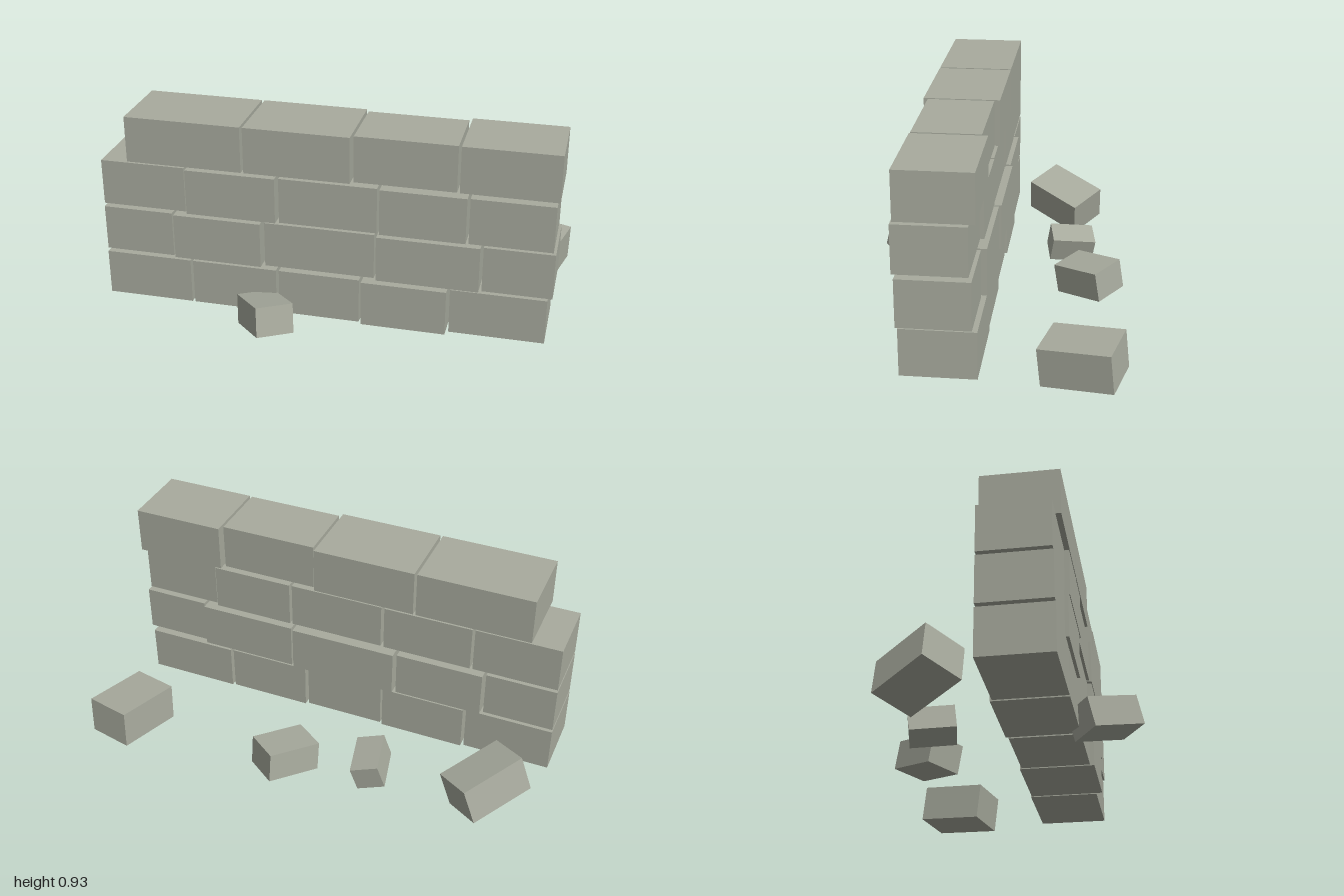
import * as THREE from 'three';

const stone = new THREE.MeshStandardMaterial({ color: 0xa8ab9e });
stone.name = 'grey stone';

// Wall courses from the ground up; each block is [left x, right x, back z, front z]
const COURSE_HEIGHT = 0.205;
const COURSE_STEP = 0.22;
const FIRST_COURSE = 0.075;
const courses = [
  [[-1, -0.612, 0.01, 0.315], [-0.6, -0.22, 0, 0.315], [-0.207, 0.15, 0.01, 0.315],
    [0.162, 0.53, 0, 0.333], [0.542, 0.95, -0.005, 0.305]],
  [[-1, -0.688, 0.01, 0.31], [-0.676, -0.285, -0.01, 0.325], [-0.27, 0.212, -0.02, 0.305],
    [0.224, 0.663, -0.01, 0.325], [0.675, 0.97, 0.013, 0.31]],
  [[-1, -0.624, 0.01, 0.305], [-0.612, -0.215, 0.008, 0.325], [-0.2, 0.224, 0.01, 0.315],
    [0.236, 0.6, 0.008, 0.325], [0.612, 0.96, 0.025, 0.32]],
  [[-0.87, -0.36, -0.003, 0.325], [-0.348, 0.11, -0.003, 0.325],
    [0.122, 0.553, 0.02, 0.305], [0.565, 0.97, -0.005, 0.308]],
];

// Fallen blocks: centre, long edge and wide edge as vectors, thickness
const fallen = [
  { at: [-0.79, 0.138, -0.243], long: [0.176, -0.062, -0.235], wide: [0.144, -0.047, 0.123], thick: 0.165 },
  { at: [-0.285, 0.118, -0.3], long: [0.043, 0.02, 0.193], wide: [0.118, -0.035, -0.022], thick: 0.116 },
  { at: [0.083, 0.125, -0.398], long: [0.146, 0.03, -0.187], wide: [0.132, -0.017, 0.107], thick: 0.132 },
  { at: [0.85, 0.139, -0.407], long: [0.078, 0.027, -0.289], wide: [0.203, -0.012, 0.057], thick: 0.167 },
  { at: [-0.241, 0.125, 0.422], long: [-0.144, -0.056, -0.19], wide: [-0.133, 0.013, 0.1], thick: 0.13 },
];

function block(name, width, height, depth) {
  const mesh = new THREE.Mesh(new THREE.BoxGeometry(width, height, depth), stone);
  mesh.name = name;
  return mesh;
}

// Turn a block so its x and z axes follow the given edges
function fallenBlock({ at, long, wide, thick }) {
  const u = new THREE.Vector3(...long);
  const v = new THREE.Vector3(...wide);
  const mesh = block('fallenBlock', u.length(), thick, v.length());
  const x = u.normalize();
  const y = new THREE.Vector3().crossVectors(v, x).normalize();
  const z = new THREE.Vector3().crossVectors(x, y);
  mesh.quaternion.setFromRotationMatrix(new THREE.Matrix4().makeBasis(x, y, z));
  mesh.position.set(...at);
  return mesh;
}

export function createModel() {
  const model = new THREE.Group();
  model.name = 'ruinedWall';

  // Standing wall
  const wall = new THREE.Group();
  wall.name = 'wall';
  courses.forEach((course, row) => {
    const group = new THREE.Group();
    group.name = `course${row + 1}`;
    group.position.y = FIRST_COURSE + row * COURSE_STEP + COURSE_HEIGHT / 2;
    for (const [x0, x1, z0, z1] of course) {
      const mesh = block('wallBlock', x1 - x0, COURSE_HEIGHT, z1 - z0);
      mesh.position.set((x0 + x1) / 2, 0, (z0 + z1) / 2);
      group.add(mesh);
    }
    wall.add(group);
  });
  model.add(wall);

  // Rubble around the foot
  const rubble = new THREE.Group();
  rubble.name = 'rubble';
  fallen.forEach((piece) => rubble.add(fallenBlock(piece)));
  model.add(rubble);

  return model;
}
